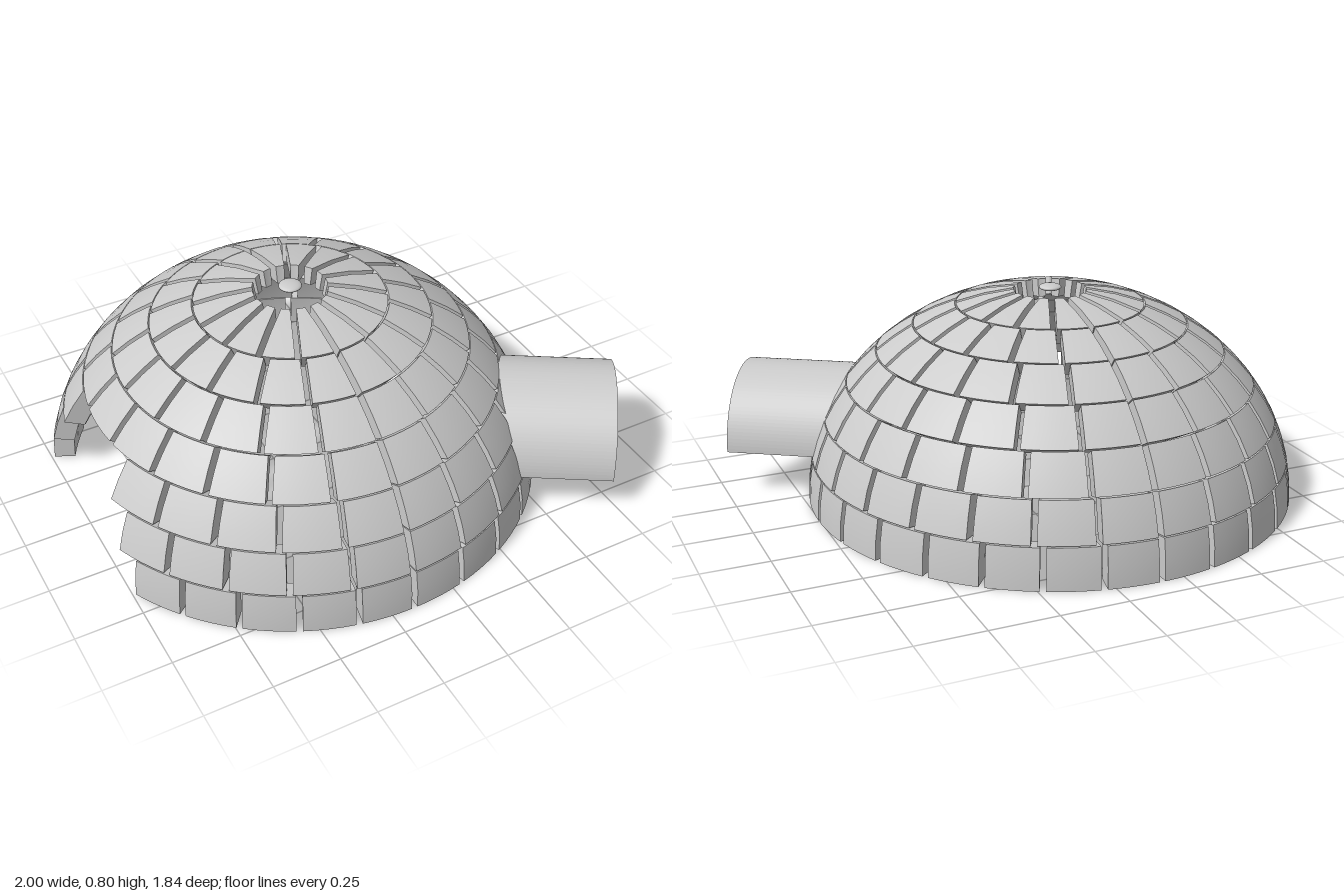
import * as THREE from 'three';

const CENTER_X = -0.165;   // dome axis
const RADIUS = 0.92, HEIGHT = 0.79;
const INNER = 0.915;       // inner shell as a share of the outer one
const STEP = THREE.MathUtils.degToRad(11.25);
const TOP = THREE.MathUtils.degToRad(81.5);
const GAP = 0.022, JOINT = 0.003;

const material = new THREE.MeshStandardMaterial({ color: 0xcccccc });

// Bends a box into a block of the shell: x -> azimuth, y -> elevation, z -> depth
function blockGeometry(azimuth, span, low, high) {
  const geometry = new THREE.BoxGeometry(1, 1, 1, 4, 2, 1);
  const p = geometry.attributes.position;
  for (let i = 0; i < p.count; i++) {
    const t = THREE.MathUtils.lerp(low, high, p.getY(i) + 0.5);
    const scale = p.getZ(i) > 0 ? 1 : INNER;
    const r = RADIUS * Math.cos(t) * scale;
    const a = azimuth + p.getX(i) * (span - GAP / r);
    p.setXYZ(i, r * Math.sin(a), HEIGHT * Math.sin(t) * scale, r * Math.cos(a));
  }
  geometry.computeVertexNormals();
  return geometry;
}

// Seven courses of 28, 26 ... 16 blocks; the doorway steps inwards on the -x side
function createDome() {
  const dome = new THREE.Group();
  dome.name = 'dome';
  const doorway = [4, 3, 2, 0, 0, 0, 0];
  doorway.forEach((missing, row) => {
    const course = new THREE.Group();
    course.name = `course${row + 1}`;
    const count = 28 - 2 * row;
    const span = (2 * Math.PI) / count;
    const low = row * STEP + (row ? JOINT : 0);
    const high = row === 6 ? TOP : (row + 1) * STEP - JOINT;
    for (let i = 0; i < count; i++) {
      const azimuth = (i + 0.5) * span;
      if (Math.abs(azimuth - 1.5 * Math.PI) < (missing * span) / 2) continue;
      const block = new THREE.Mesh(blockGeometry(azimuth, span, low, high), material);
      block.name = 'iceBlock';
      course.add(block);
    }
    dome.add(course);
  });
  return dome;
}

// Half-round vault pointing away from the dome axis
function createTunnel() {
  const outer = 0.275, inner = 0.2, start = 0.58, end = 1.19;
  const arch = new THREE.Shape();
  arch.absarc(0, 0, outer, 0, Math.PI, false);
  arch.absarc(0, 0, inner, Math.PI, 0, true);
  arch.closePath();
  const geometry = new THREE.ExtrudeGeometry(arch, {
    depth: end - start, bevelEnabled: false, curveSegments: 32,
  });
  const tunnel = new THREE.Mesh(geometry.translate(0, 0.165, start), material);
  tunnel.name = 'entranceTunnel';
  tunnel.rotation.y = THREE.MathUtils.degToRad(58.2);
  return tunnel;
}

export function createModel() {
  const igloo = new THREE.Group();
  igloo.name = 'igloo';

  // Small flattened cap stone above the smoke hole
  const cap = new THREE.Mesh(new THREE.SphereGeometry(0.042, 24, 12), material);
  cap.name = 'capStone';
  cap.scale.y = 0.3;
  cap.position.y = 0.787;

  igloo.add(createDome(), createTunnel(), cap);
  igloo.children.forEach((part) => { part.position.x = CENTER_X; });
  return igloo;
}
